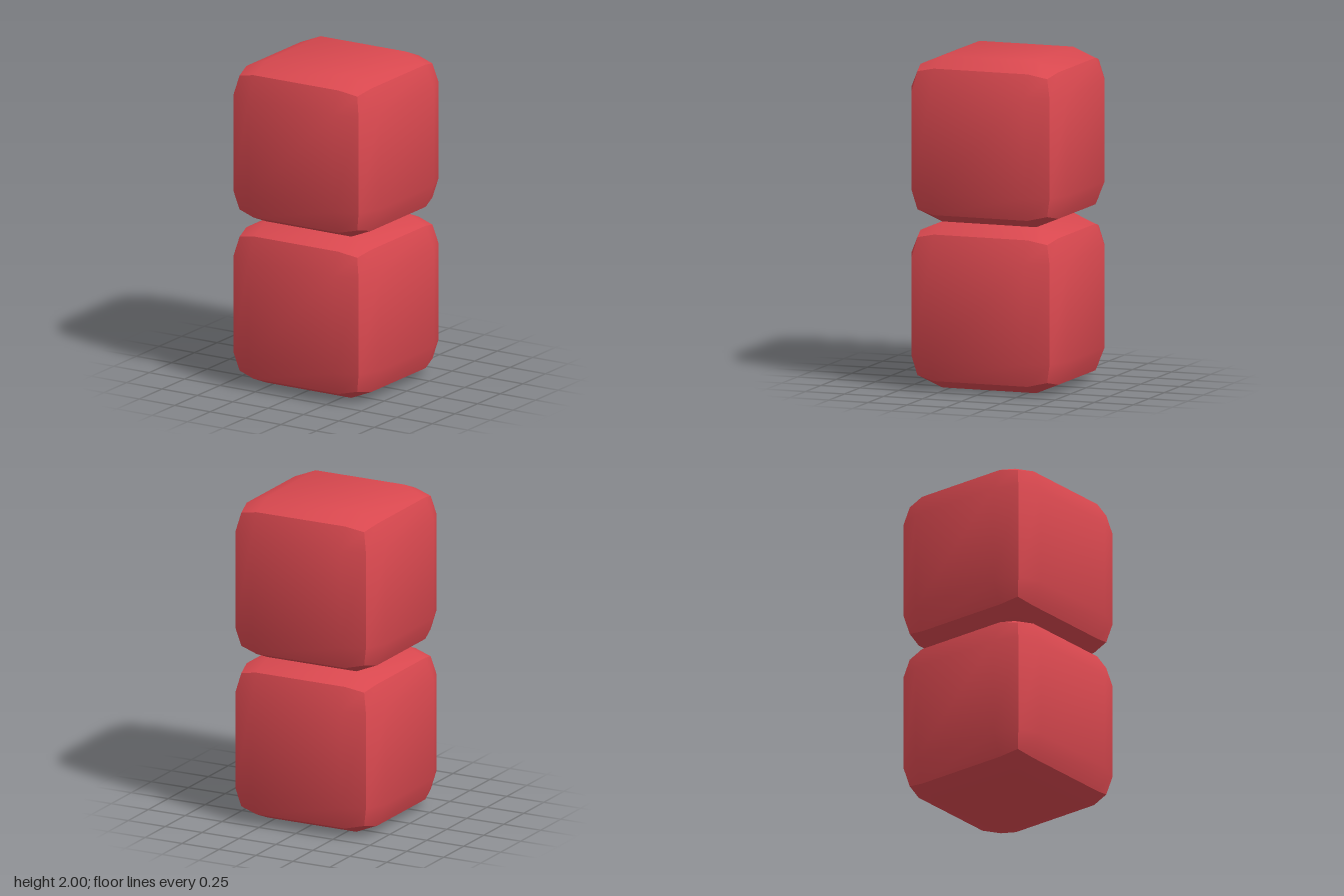
import * as THREE from 'three';
import { RoundedBoxGeometry } from 'three/addons/geometries/RoundedBoxGeometry.js';
import { toCreasedNormals } from 'three/addons/utils/BufferGeometryUtils.js';

export function createModel() {
  const model = new THREE.Group();
  model.name = 'stackedCubes';

  const red = new THREE.MeshStandardMaterial({ color: 0xd9484f });
  red.name = 'red';

  // Low-poly rounded cube: soft slopes on each face, creased where faces meet
  const cube = toCreasedNormals(new RoundedBoxGeometry(1, 1, 1, 1, 0.2), 0.6);

  // Two cubes, one on top of the other
  ['lowerCube', 'upperCube'].forEach((name, i) => {
    const mesh = new THREE.Mesh(cube, red);
    mesh.name = name;
    mesh.position.y = 0.5 + i;
    model.add(mesh);
  });

  return model;
}
